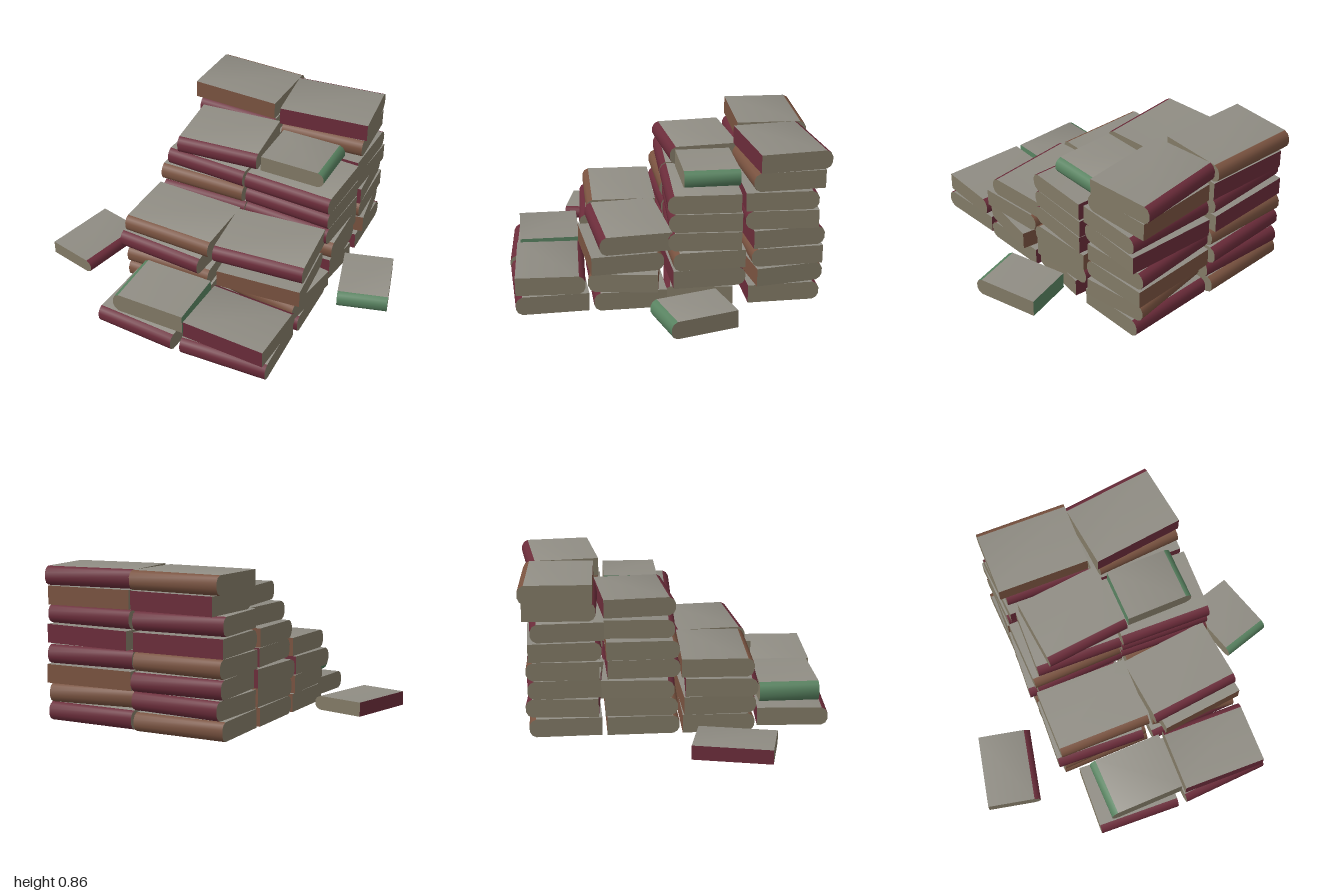
import * as THREE from 'three';
import { toCreasedNormals } from 'three/addons/utils/BufferGeometryUtils.js';

const PITCH = 0.1085;
const material = (color) => new THREE.MeshStandardMaterial({ color });
const covers = { maroon: material(0x6b2c3a), brown: material(0x7a5340), green: material(0x588260) };
const pageEnds = material(0x827a66);
const foreEdge = material(0x8f8c83);

// Closed book: rounded spine towards +z, fore edge towards -z, length along x
function bookGeometry(length, depth, height) {
  const d = depth / 2, h = height / 2;
  const half = [[-d, h], [d - 0.035, h], [d - 0.012, h * 0.76], [d, h * 0.32]];
  const outline = [...half, ...half.map(([u, v]) => [u, -v]).reverse()];
  const shape = new THREE.Shape(outline.map(([u, v]) => new THREE.Vector2(-u, v)));
  let geo = new THREE.ExtrudeGeometry(shape, { depth: length, bevelEnabled: false });
  geo.translate(0, 0, -length / 2);
  geo.rotateY(Math.PI / 2);
  const caps = geo.groups[0].count;
  geo = toCreasedNormals(geo, 0.9);
  // Page ends, then the fore edge, then the cover and spine
  geo.clearGroups();
  geo.addGroup(0, caps, 0);
  geo.addGroup(caps, 6, 1);
  geo.addGroup(caps + 6, geo.attributes.position.count - caps - 6, 2);
  return geo;
}

function book(color, x, y, z, angle, length = 0.53, depth = 0.4, height = 0.104) {
  const mesh = new THREE.Mesh(bookGeometry(length, depth, height), [pageEnds, foreEdge, covers[color]]);
  mesh.name = color + 'Book';
  mesh.position.set(x, y + height / 2, z);
  mesh.rotation.y = angle;
  return mesh;
}

// Each layer, from the floor up: colour, spine side (1 front, -1 back), twist, x, z, length, depth
const M = 'maroon', B = 'brown';
const stacks = {
  backLeftStack: [
    [B, -1, 0.02, -0.23, -0.63], [M, -1, -0.05, -0.22, -0.63], [M, -1, 0.04, -0.22, -0.64],
    [B, -1, -0.02, -0.23, -0.63], [M, 1, 0.03, -0.23, -0.63], [M, -1, 0.05, -0.22, -0.62],
    [M, 1, -0.04, -0.21, -0.64, 0.5], [B, -1, -0.03, -0.23, -0.66]],
  backRightStack: [
    [M, -1, 0.02, 0.33, -0.62], [B, -1, 0.15, 0.35, -0.62, 0.5, 0.38], [B, 1, 0.04, 0.33, -0.63],
    [M, -1, 0.08, 0.33, -0.63, 0.52], [M, 1, -0.05, 0.33, -0.62], [M, -1, -0.02, 0.33, -0.61],
    [B, 1, 0.06, 0.33, -0.63, 0.5], [M, -1, 0.11, 0.32, -0.65]],
  middleLeftStack: [
    [B, 1, 0.01, -0.23, -0.2], [B, 1, -0.03, -0.23, -0.2], [M, 1, -0.07, -0.25, -0.21],
    [M, 1, 0.03, -0.22, -0.2], [B, 1, 0.01, -0.23, -0.2], [M, 1, -0.04, -0.2, -0.21, 0.5],
    [M, 1, 0.09, -0.16, -0.23, 0.49, 0.4]],
  middleRightStack: [
    [M, 1, -0.12, 0.33, -0.18, 0.5, 0.38], [M, -1, 0.04, 0.33, -0.2], [B, 1, 0.03, 0.34, -0.2],
    [M, 1, -0.06, 0.33, -0.2], [M, 1, -0.05, 0.33, -0.2], [M, 1, -0.04, 0.33, -0.19, 0.53]],
  nearLeftStack: [
    [B, 1, 0, -0.23, 0.22], [B, 1, 0.03, -0.24, 0.22, 0.52], [M, 1, -0.06, -0.26, 0.25, 0.52],
    [B, 1, -0.02, -0.23, 0.22, 0.54]],
  nearRightStack: [
    [M, 1, 0.02, 0.33, 0.23], [B, 1, -0.15, 0.36, 0.23, 0.5, 0.38], [B, -1, 0.09, 0.35, 0.26, 0.49],
    [M, 1, 0.09, 0.32, 0.215, 0.53]],
  frontLeftStack: [[M, 1, -0.06, -0.19, 0.66, 0.48]],
  frontRightStack: [[M, 1, 0.04, 0.34, 0.66, 0.51], [M, -1, -0.04, 0.35, 0.65, 0.49, 0.38]],
};

export function createModel() {
  const model = new THREE.Group();
  model.name = 'bookPile';
  for (const [name, layers] of Object.entries(stacks)) {
    const stack = new THREE.Group();
    stack.name = name;
    layers.forEach(([color, side, twist, x, z, length, depth], i) => {
      stack.add(book(color, x, i * PITCH, z, twist + (side < 0 ? Math.PI : 0), length, depth));
    });
    model.add(stack);
  }
  // Small books lying across the stacks
  model.add(book('green', -0.14, PITCH, 0.64, -Math.PI / 2, 0.34, 0.44, 0.115));
  model.add(book('green', 0.315, 6 * PITCH, -0.235, Math.PI / 2, 0.31, 0.39, 0.095));
  // Loose books on the floor
  model.add(book('green', 0.8, 0.003, -0.095, 0.278, 0.29, 0.385, 0.1));
  model.add(book('maroon', -0.8, 0.015, 0.275, 1.34, 0.43, 0.31, 0.08));
  return model;
}
